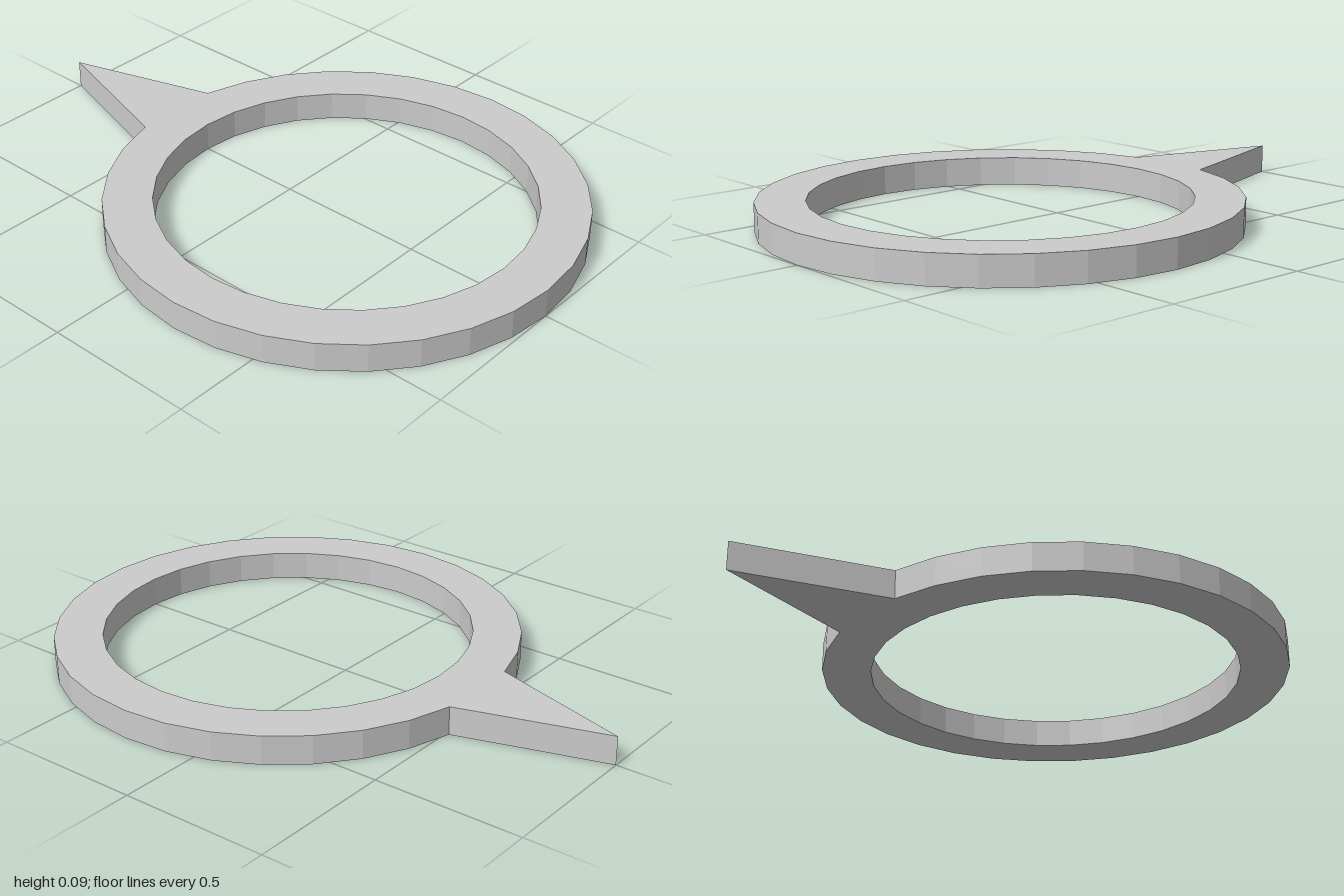
import * as THREE from 'three';

const SIDES = 32;
const HEIGHT = 0.095;
const OUTER = 0.763;
const INNER = 0.605;
const CENTER = OUTER - 1; // ring centre in the drawing plane, where +y is the back

// Corners of a regular polygon around the ring centre
function ringPoints(radius) {
  return Array.from({ length: SIDES }, (_, i) => {
    const a = (i / SIDES) * Math.PI * 2;
    return new THREE.Vector2(Math.cos(a) * radius, CENTER + Math.sin(a) * radius);
  });
}

export function createModel() {
  const group = new THREE.Group();
  group.name = 'pointerRing';

  // Outer outline: the rearmost corner is pulled out into the pointer tip
  const outline = ringPoints(OUTER);
  outline[SIDES / 4].set(0, 1);

  const shape = new THREE.Shape(outline);
  shape.holes.push(new THREE.Path(ringPoints(INNER).reverse()));

  // Flat plate lying on the ground
  const geometry = new THREE.ExtrudeGeometry(shape, { depth: HEIGHT, bevelEnabled: false });
  geometry.rotateX(-Math.PI / 2);

  const ring = new THREE.Mesh(
    geometry,
    new THREE.MeshStandardMaterial({ color: 0xcccccc, flatShading: true })
  );
  ring.name = 'ringWithPointer';
  group.add(ring);
  return group;
}
